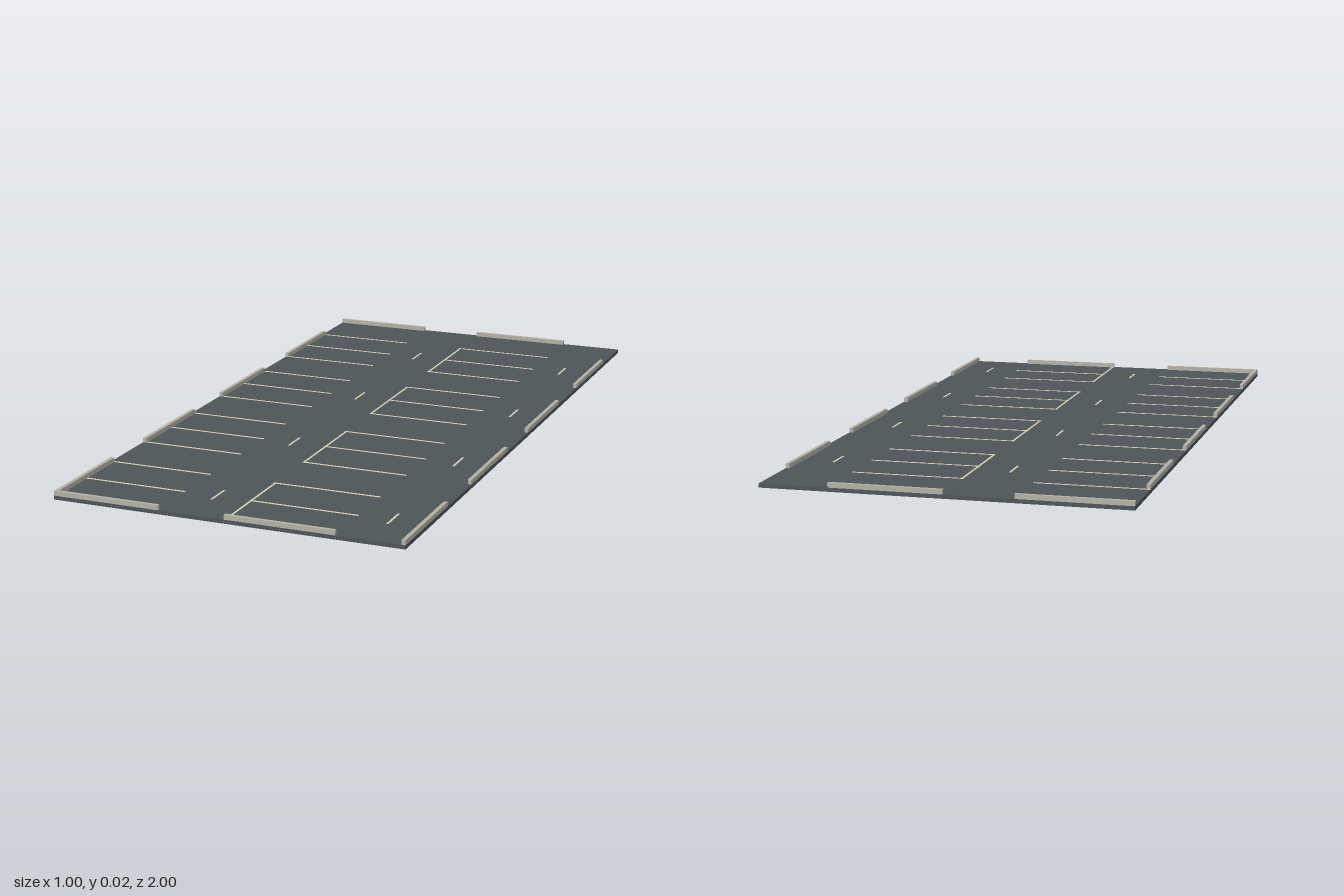
import * as THREE from 'three';

const TILE = 0.5, SLAB = 0.011, CURB_H = 0.013, CURB_W = 0.011;
const PAINT_H = 0.001, PAINT_W = 0.006;
const BAY = 0.31; // length of a bay line and of a kerb

export function createModel() {
  const asphalt = new THREE.MeshStandardMaterial({ color: 0x4c5559 });
  asphalt.name = 'asphalt';
  const concrete = new THREE.MeshStandardMaterial({ color: 0xb3b0a5 });
  concrete.name = 'concrete';
  const paint = new THREE.MeshStandardMaterial({ color: 0xd9d2b4 });
  paint.name = 'cream paint';

  const model = new THREE.Group();
  model.name = 'parkingLot';

  // box given by its centre in x and z and its underside in y
  const box = (parent, name, material, [w, h, d], [x, y, z]) => {
    const mesh = new THREE.Mesh(new THREE.BoxGeometry(w, h, d), material);
    mesh.name = name;
    mesh.position.set(x, y + h / 2, z);
    parent.add(mesh);
  };

  // one tile with its bay markings, measured from the back left corner
  const addTile = (x0, z0) => {
    const tile = new THREE.Group();
    tile.name = 'parkingTile';
    tile.position.set(x0, 0, z0);
    box(tile, 'pavement', asphalt, [TILE, SLAB, TILE], [TILE / 2, 0, TILE / 2]);
    for (const z of [0.188, 0.342, 0.495]) {
      box(tile, 'bayLine', paint, [BAY, PAINT_H, PAINT_W], [BAY / 2, SLAB, z]);
    }
    box(tile, 'bayEndLine', paint, [PAINT_W, PAINT_H, BAY], [0.004, SLAB, 0.343]);
    box(tile, 'laneDash', paint, [PAINT_W, PAINT_H, 0.08], [0.402, SLAB, 0.332]);
    model.add(tile);
  };

  for (let col = 0; col < 2; col++) {
    for (let row = 0; row < 4; row++) addTile(-0.5 + col * TILE, -1 + row * TILE);
  }

  // kerbs along both long sides
  for (const side of [-1, 1]) {
    for (let row = 0; row < 4; row++) {
      box(model, 'sideKerb', concrete, [CURB_W, CURB_H, BAY],
        [side * (0.5 - CURB_W / 2), SLAB, -1 + (row + 1) * TILE - BAY / 2]);
    }
  }

  // kerbs along the front and back ends
  for (const end of [-1, 1]) {
    for (const x of [-0.5, 0]) {
      box(model, 'endKerb', concrete, [BAY, CURB_H, CURB_W],
        [x + BAY / 2, SLAB, end * (1 - CURB_W / 2)]);
    }
  }
  return model;
}
